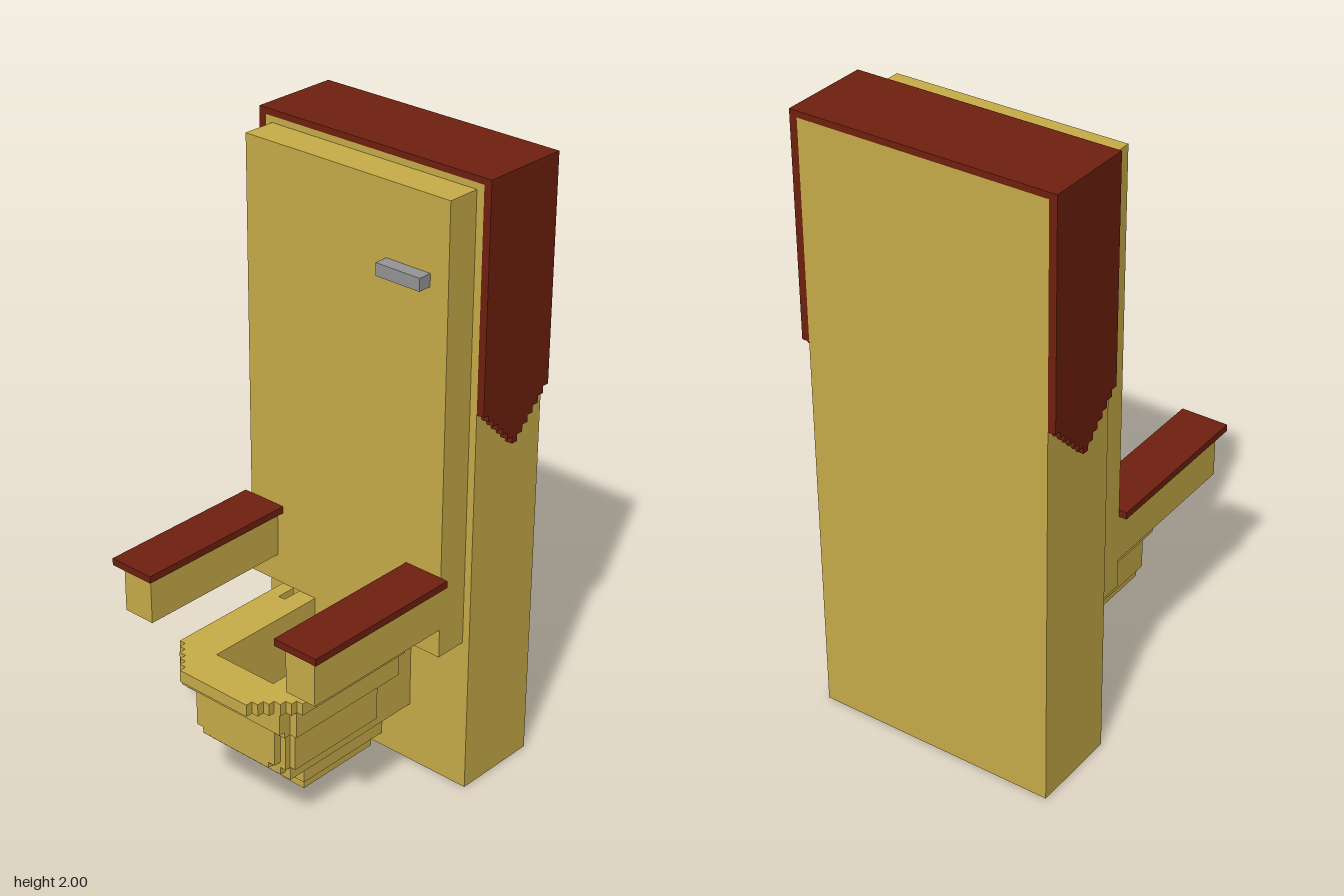
import * as THREE from 'three';

export function createModel() {
  const model = new THREE.Group();
  const material = (name, color) => {
    const m = new THREE.MeshStandardMaterial({ color });
    m.name = name;
    return m;
  };
  const gold = material('gold', 0xc9ad49);
  const red = material('darkRed', 0x70200f);
  const grey = material('grey', 0x969696);

  const add = (name, geometry, mat) => {
    const mesh = new THREE.Mesh(geometry, mat);
    mesh.name = name;
    model.add(mesh);
    return mesh;
  };
  // Box given by its limits on each axis
  const box = (name, x0, x1, y0, y1, z0, z1, mat = gold) =>
    add(name, new THREE.BoxGeometry(x1 - x0, y1 - y0, z1 - z0), mat)
      .position.set((x0 + x1) / 2, (y0 + y1) / 2, (z0 + z1) / 2);
  // Horizontal slab from half of its [x, z] outline, mirrored across x
  const slab = (name, half, y0, y1) => {
    const outline = [...half, ...half.map(([x, z]) => [-x, z]).reverse()];
    const shape = new THREE.Shape(outline.map(([x, z]) => new THREE.Vector2(x, -z)));
    const g = new THREE.ExtrudeGeometry(shape, { depth: y1 - y0, bevelEnabled: false });
    g.rotateX(-Math.PI / 2).translate(0, y0, 0);
    add(name, g, gold);
  };

  // Tall cistern column, front panel and flush handle
  const back = -0.485, front = -0.19;
  box('column', -0.405, 0.405, 0, 1.98, back, front);
  box('frontPanel', -0.38, 0.38, 0.515, 1.96, front, -0.08);
  box('handle', 0.155, 0.315, 1.69, 1.73, -0.08, -0.035, grey);

  // Cap with side flaps stepped down to a point
  box('capTop', -0.43, 0.43, 1.98, 2, back, front, red);
  const flap = new THREE.Shape();
  flap.moveTo(front, 1.98);
  flap.lineTo(back, 1.98);
  const step = (front - back) / 13;
  for (let i = 0; i < 13; i++) {
    const y = 1.15 + 0.0225 * Math.abs(i - 6);
    flap.lineTo(back + i * step, y);
    flap.lineTo(back + (i + 1) * step, y);
  }
  for (const x of [0.43, -0.405]) {
    const g = new THREE.ExtrudeGeometry(flap, { depth: 0.025, bevelEnabled: false });
    g.rotateY(-Math.PI / 2).translate(x, 0, 0);
    add('capSideFlap', g, red);
  }

  // Armrests
  for (const s of [-1, 1]) {
    const span = (a, b) => (s > 0 ? [a, b] : [-b, -a]);
    box('armrestSupport', ...span(0.27, 0.38), 0.61, 0.765, -0.08, 0.46);
    box('armrestPad', ...span(0.247, 0.405), 0.765, 0.788, -0.08, 0.483, red);
  }

  // Bowl: U-shaped layers around the opening, with hinge slots at the back
  const inner = (z) => [[0.115, z], [0.115, -0.08], [0.18, -0.08], [0.18, -0.013]];
  const slotted = (z) => [...inner(z), [0.205, -0.013], [0.205, -0.08]];
  slab('seatRim', [...slotted(0.35), [0.25, -0.08], [0.25, 0.37], [0.227, 0.37],
    [0.227, 0.392], [0.205, 0.392], [0.205, 0.415], [0.18, 0.415], [0.18, 0.437],
    [0.158, 0.437], [0.158, 0.46], [0.135, 0.46], [0.135, 0.483]], 0.475, 0.515);
  const upper = (z) => [...slotted(0.35), [0.225, -0.08], [0.225, 0.37], [0.2, 0.37], [0.2, z]];
  slab('upperBowl', upper(0.415), 0.405, 0.475);
  slab('upperBowlLip', upper(0.395), 0.385, 0.405);
  const middle = [...inner(0.325), [0.2, -0.013], [0.2, 0.35], [0.18, 0.35], [0.18, 0.37]];
  slab('middleBowl', [...middle, [0.16, 0.37], [0.16, 0.395]], 0.27, 0.385);
  slab('middleBowlFoot', [...middle, [0.135, 0.37], [0.135, 0.395]], 0.25, 0.27);
  box('bowlConnector', -0.18, 0.18, 0.205, 0.515, front, -0.08);

  // Stepped underside: half width, bottom, top, front z
  const tiers = [
    [0.16, 0.225, 0.25, 0.37], [0.18, 0.205, 0.25, 0.35], [0.16, 0.185, 0.205, 0.33],
    [0.135, 0.16, 0.185, 0.28], [0.113, 0.14, 0.16, 0.26], [0.09, 0.115, 0.14, 0.215],
    [0.067, 0.09, 0.115, 0.19], [0.067, 0.045, 0.09, 0.17],
  ];
  for (const [w, y0, y1, z] of tiers) box('bowlTier', -w, w, y0, y1, front, z);
  box('foot', -0.045, 0.045, 0, 0.045, -0.165, 0.147);

  return model;
}
